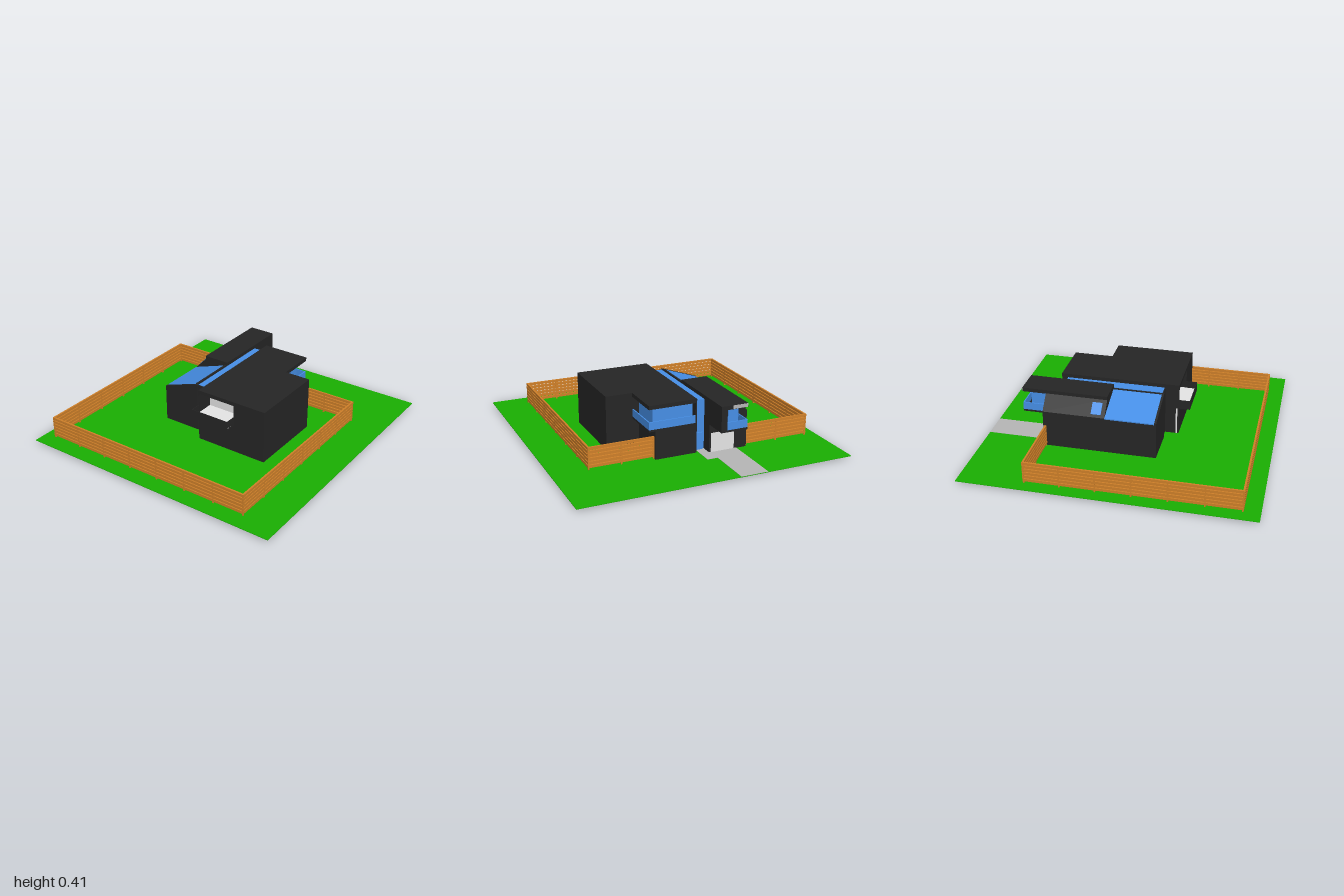
import * as THREE from 'three';

const mat = (name, color) => {
  const m = new THREE.MeshStandardMaterial({ color });
  m.name = name;
  return m;
};

export function createModel() {
  const grass = mat('grass', 0x1aaf02);
  const dark = mat('charcoal cladding', 0x262626);
  const glass = mat('blue glass', 0x4790e8);
  const paving = mat('grey paving', 0xb6b6b6);
  const pale = mat('pale grey', 0xe5e5e5);
  const wood = mat('fence wood', 0xcf8029);

  const model = new THREE.Group();
  model.name = 'houseOnLawn';
  const group = (name) => {
    const g = new THREE.Group();
    g.name = name;
    model.add(g);
    return g;
  };

  // Box given by its minimum and maximum on each axis
  const box = (parent, name, m, x0, x1, y0, y1, z0, z1) => {
    const mesh = new THREE.Mesh(new THREE.BoxGeometry(x1 - x0, y1 - y0, z1 - z0), m);
    mesh.position.set((x0 + x1) / 2, (y0 + y1) / 2, (z0 + z1) / 2);
    mesh.name = name;
    parent.add(mesh);
    return mesh;
  };

  // Prism along x from a [z, y] profile
  const prism = (parent, name, m, x0, x1, profile) => {
    const shape = new THREE.Shape(profile.map(([z, y]) => new THREE.Vector2(-z, y)));
    const geo = new THREE.ExtrudeGeometry(shape, { depth: x1 - x0, bevelEnabled: false });
    geo.rotateY(Math.PI / 2);
    const mesh = new THREE.Mesh(geo, m);
    mesh.position.x = x0;
    mesh.name = name;
    parent.add(mesh);
  };

  // Lawn, driveway and front path
  const site = group('site');
  box(site, 'lawn', grass, -1, 1, 0.016, 0.02, -0.97, 0.97);
  box(site, 'driveway', paving, 0.47, 0.999, 0.014, 0.022, -0.33, -0.135);
  box(site, 'frontPath', paving, 0.47, 0.67, 0.014, 0.022, -0.135, -0.06);

  // Front wing: tall block, lower corner room and roof over the corner balcony
  const front = group('frontWing');
  box(front, 'mainBlock', dark, -0.2, 0.25, 0.02, 0.405, -0.045, 0.495);
  box(front, 'mainBlockFront', dark, -0.32, -0.2, 0.02, 0.405, 0.25, 0.495);
  box(front, 'recessBase', dark, -0.32, -0.2, 0.02, 0.234, -0.045, 0.25);
  box(front, 'recessRoof', dark, -0.32, -0.2, 0.377, 0.405, -0.045, 0.25);
  box(front, 'recessEndWall', dark, -0.32, -0.2, 0.234, 0.377, -0.045, -0.035);
  box(front, 'cornerRoom', dark, 0.25, 0.533, 0.02, 0.222, -0.045, 0.255);
  box(front, 'cornerBalconyFloor', dark, 0.25, 0.533, 0.222, 0.236, -0.045, 0.303);
  box(front, 'cornerWindow', glass, 0.25, 0.483, 0.236, 0.377, -0.035, 0.255);
  box(front, 'cornerBackWall', dark, 0.25, 0.533, 0.236, 0.377, -0.045, -0.035);
  box(front, 'cornerRoof', dark, 0.25, 0.533, 0.377, 0.405, -0.045, 0.303);
  box(front, 'cornerRailFront', glass, 0.25, 0.533, 0.236, 0.29, 0.295, 0.303);
  box(front, 'cornerRailSide', glass, 0.525, 0.533, 0.236, 0.29, -0.035, 0.295);

  // Balcony on the blind side, running back into a pale recess
  const side = group('sideBalcony');
  box(side, 'sideBalconyFloor', dark, -0.398, -0.32, 0.222, 0.234, -0.045, 0.25);
  box(side, 'sideBalconyDeck', pale, -0.395, -0.2, 0.234, 0.238, -0.035, 0.25);
  box(side, 'sideRail', dark, -0.398, -0.395, 0.234, 0.29, -0.045, 0.25);
  for (const z of [-0.045, 0.247]) {
    box(side, 'sideRailEnd', dark, -0.395, -0.32, 0.234, 0.29, z, z + 0.003);
  }
  box(side, 'recessBackPanel', pale, -0.203, -0.199, 0.238, 0.377, -0.035, 0.25);
  box(side, 'cornerTrim', pale, -0.309, -0.298, 0.02, 0.22, -0.047, -0.044);

  // Glazed corridor joining the wings
  const hall = group('corridor');
  box(hall, 'corridorGlass', glass, -0.215, 0.488, 0.02, 0.378, -0.122, -0.045);
  box(hall, 'corridorEndWall', dark, -0.222, -0.215, 0.02, 0.376, -0.122, -0.045);
  box(hall, 'frontDoor', glass, 0.488, 0.497, 0.022, 0.145, -0.11, -0.052);

  // Rear wing: long glass slope on one half, steep dark slope on the other
  const rear = group('rearWing');
  const slope = (lift) => [
    [-0.122, 0.02], [-0.122, 0.37 + lift], [-0.14, 0.37 + lift], [-0.405, 0.28 + lift], [-0.405, 0.02],
  ];
  prism(rear, 'slopedBlock', dark, -0.215, 0.13, slope(0));
  prism(rear, 'slopedEndWall', dark, -0.23, -0.215, slope(0.009));
  prism(rear, 'glassRoof', glass, -0.215, 0.13, [
    [-0.146, 0.368], [-0.146, 0.376], [-0.406, 0.287], [-0.406, 0.279],
  ]);
  box(rear, 'roofRidge', dark, -0.215, 0.13, 0.365, 0.381, -0.146, -0.132);
  prism(rear, 'garageBlock', dark, 0.13, 0.568, [
    [-0.122, 0.02], [-0.122, 0.385], [-0.31, 0.385], [-0.405, 0.285], [-0.405, 0.02],
  ]);
  const skylight = box(rear, 'skylight', glass, 0.158, 0.228, -0.004, 0.004, -0.043, 0.043);
  skylight.position.set(0.193, 0.332, -0.362);
  skylight.rotation.x = -Math.atan2(0.1, 0.095);
  box(rear, 'garageDoor', pale, 0.5675, 0.5695, 0, 0.16, -0.31, -0.135);

  // Overhanging upper balcony
  const over = group('upperBalcony');
  box(over, 'upperRoof', dark, 0.13, 0.738, 0.377, 0.405, -0.315, -0.122);
  box(over, 'roofEndPanel', paving, 0.736, 0.741, 0.38, 0.404, -0.313, -0.205);
  box(over, 'upperFloor', dark, 0.568, 0.738, 0.222, 0.236, -0.315, -0.122);
  box(over, 'upperSideWall', dark, 0.568, 0.738, 0.236, 0.377, -0.165, -0.122);
  box(over, 'upperWindow', glass, 0.568, 0.69, 0.236, 0.377, -0.27, -0.195);
  box(over, 'upperRailEnd', glass, 0.73, 0.738, 0.236, 0.29, -0.315, -0.165);
  box(over, 'upperRailBack', glass, 0.568, 0.73, 0.236, 0.29, -0.315, -0.307);

  // Slatted fence: each run has six thick boards and evenly spaced slim posts
  const fence = group('fence');
  const run = (ax, az, bx, bz) => {
    const t = 0.0065;
    for (let i = 0; i < 6; i++) {
      const y = 0.034 + i * 0.025;
      box(fence, 'fenceBoard', wood, Math.min(ax, bx) - t, Math.max(ax, bx) + t,
        y, y + 0.019, Math.min(az, bz) - t, Math.max(az, bz) + t);
    }
    const n = Math.max(2, Math.round(Math.hypot(bx - ax, bz - az) / 0.235));
    for (let i = 0; i <= n; i++) {
      const x = ax + ((bx - ax) * i) / n;
      const z = az + ((bz - az) * i) / n;
      box(fence, 'fencePost', wood, x - 0.005, x + 0.005, 0.02, 0.176, z - 0.005, z + 0.005);
    }
  };
  run(0.505, 0.26, 0.505, 0.715);
  run(0.505, 0.715, -0.885, 0.715);
  run(-0.885, 0.715, -0.885, -0.885);
  run(-0.885, -0.885, 0.552, -0.885);
  run(0.552, -0.885, 0.552, -0.41);

  return model;
}
